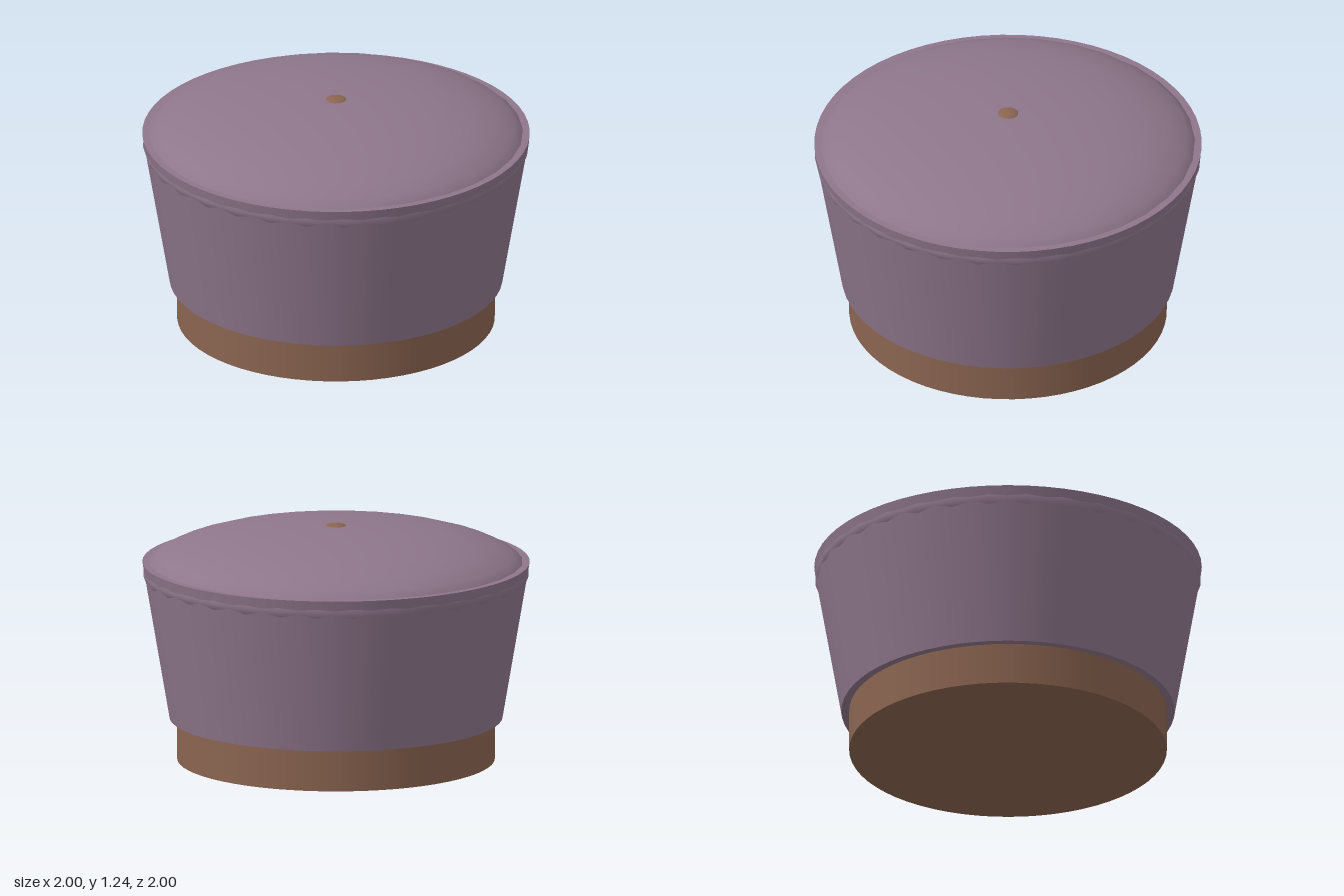
import * as THREE from 'three';

export function createModel() {
  const group = new THREE.Group();
  const fabric = new THREE.MeshStandardMaterial({ color: 0x8e768b });
  fabric.name = 'mauveFabric';
  const wood = new THREE.MeshStandardMaterial({ color: 0x8a6450 });
  wood.name = 'brownWood';

  const add = (name, geometry, material, y) => {
    const mesh = new THREE.Mesh(geometry, material);
    mesh.name = name;
    mesh.position.y = y;
    group.add(mesh);
    return mesh;
  };

  // Round wooden plinth
  add('base', new THREE.CylinderGeometry(0.82, 0.82, 0.24, 64), wood, 0.12);

  // Tapered upholstered body, wider at the top
  add('body', new THREE.CylinderGeometry(1, 0.86, 0.82, 64), fabric, 0.63);

  // Squashed cushion whose widest ring just breaks through the body
  add('cushion', new THREE.SphereGeometry(1, 32, 16), fabric, 0.98).scale.set(0.998, 0.25, 0.998);

  // Tuft button in the centre of the cushion
  add('button', new THREE.SphereGeometry(0.055, 16, 10), wood, 1.225).scale.y = 0.27;

  return group;
}
